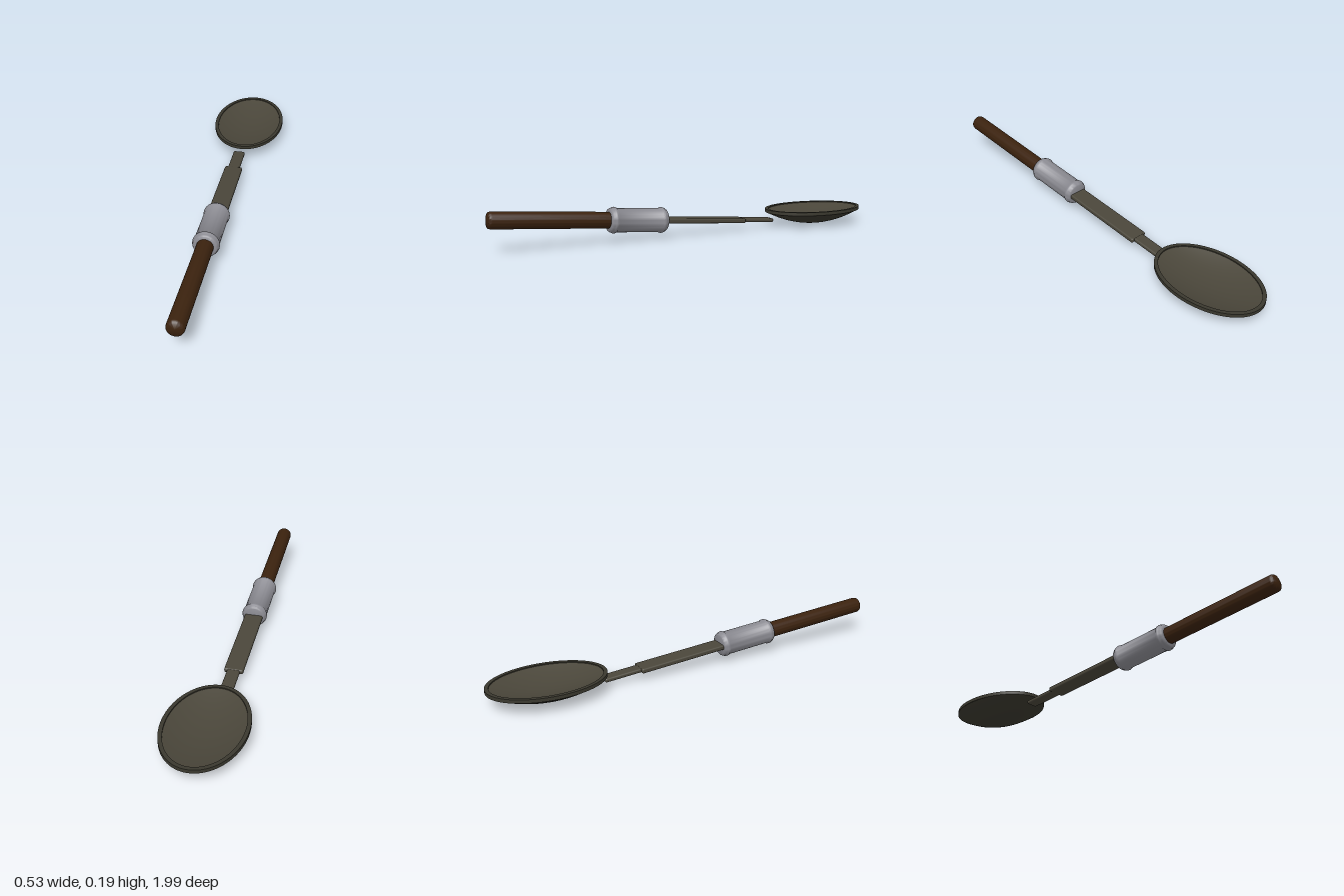
import * as THREE from 'three';
import { RoundedBoxGeometry } from 'three/addons/geometries/RoundedBoxGeometry.js';
import { toCreasedNormals } from 'three/addons/utils/BufferGeometryUtils.js';

const material = (name, color) => {
  const m = new THREE.MeshStandardMaterial({ color });
  m.name = name;
  return m;
};

// Solid of revolution around +y from [radius, height] pairs, with crisp edges
const turned = (pairs, crease = 0.6) => toCreasedNormals(
  new THREE.LatheGeometry(pairs.map(([r, y]) => new THREE.Vector2(r, y)), 48), crease);

export function createModel() {
  const wood = material('dark wood', 0x3b220e);
  const steel = material('grey steel', 0x8b8b92);
  const bronze = material('dull bronze', 0x4a463a);
  const darkBronze = material('dark bronze', 0x3a382e);

  const model = new THREE.Group();
  model.name = 'spoon';
  const add = (parent, name, geometry, mat) => {
    const mesh = new THREE.Mesh(geometry, mat);
    mesh.name = name;
    parent.add(mesh);
    return mesh;
  };

  // Shaft: everything along one sloping axis, grip end towards local +z
  const shaft = new THREE.Group();
  shaft.name = 'shaft';
  shaft.position.set(-0.058, 0.071, 0);
  shaft.lookAt(-0.058 - 0.168, 0.071 + 0.0826, 1);
  model.add(shaft);

  // Wooden grip with a softened end
  const grip = turned([[0, 0.4], [0.039, 0.4], [0.039, 0.995], [0.037, 1.004], [0.032, 1.009], [0, 1.01]], 0.9);
  add(shaft, 'grip', grip.rotateX(Math.PI / 2), wood);

  // Ferrule with a bead at each end
  const halfProfile = [[0, 0], [0.049, 0], [0.054, 0.003], [0.058, 0.009], [0.058, 0.014],
    [0.062, 0.018], [0.063, 0.024], [0.062, 0.03], [0.058, 0.034]];
  const length = 0.295, start = 0.149;
  const mirrored = halfProfile.map(([r, y]) => [r, length - y]).reverse();
  const ferrule = turned([...halfProfile, ...mirrored].map(([r, y]) => [r, y + start]), 0.9);
  add(shaft, 'ferrule', ferrule.rotateX(Math.PI / 2), steel);

  // Flat neck in two widths
  const bar = (name, width, height, z0, z1) => {
    const geometry = new RoundedBoxGeometry(width, height, z1 - z0, 3, 0.008);
    add(shaft, name, geometry, bronze).position.z = (z0 + z1) / 2;
  };
  bar('wideNeck', 0.09, 0.024, -0.292, 0.17);
  bar('narrowNeck', 0.06, 0.02, -0.472, -0.27);

  // Oval bowl
  const bowl = new THREE.Group();
  bowl.name = 'bowl';
  bowl.position.set(0.075, 0, -0.72);
  bowl.rotation.y = -0.166;
  model.add(bowl);

  const rx = 0.187, rz = 0.279, lip = 0.018;
  const dish = (a, b, low, high, inward) => {
    const points = [];
    for (let i = 0; i <= 20; i++) {
      const r = i / 20;
      points.push(new THREE.Vector2(r, low + (high - low) * r * r));
    }
    if (inward) points.reverse();
    return new THREE.LatheGeometry(points, 64).scale(a, 1, b);
  };
  add(bowl, 'bowlOutside', dish(rx - 0.001, rz - 0.001, 0, 0.069, false), darkBronze);
  add(bowl, 'bowlInside', dish(rx - lip, rz - lip, 0.042, 0.08, true), bronze);

  // Flat-topped rim
  const ring = new THREE.Shape().absellipse(0, 0, rx, rz, 0, Math.PI * 2);
  ring.holes.push(new THREE.Path().absellipse(0, 0, rx - lip, rz - lip, 0, Math.PI * 2));
  const rim = new THREE.ExtrudeGeometry(ring, { depth: 0.017, bevelEnabled: false, curveSegments: 64 });
  add(bowl, 'rim', toCreasedNormals(rim.rotateX(-Math.PI / 2), 0.6), darkBronze).position.y = 0.068;

  return model;
}
